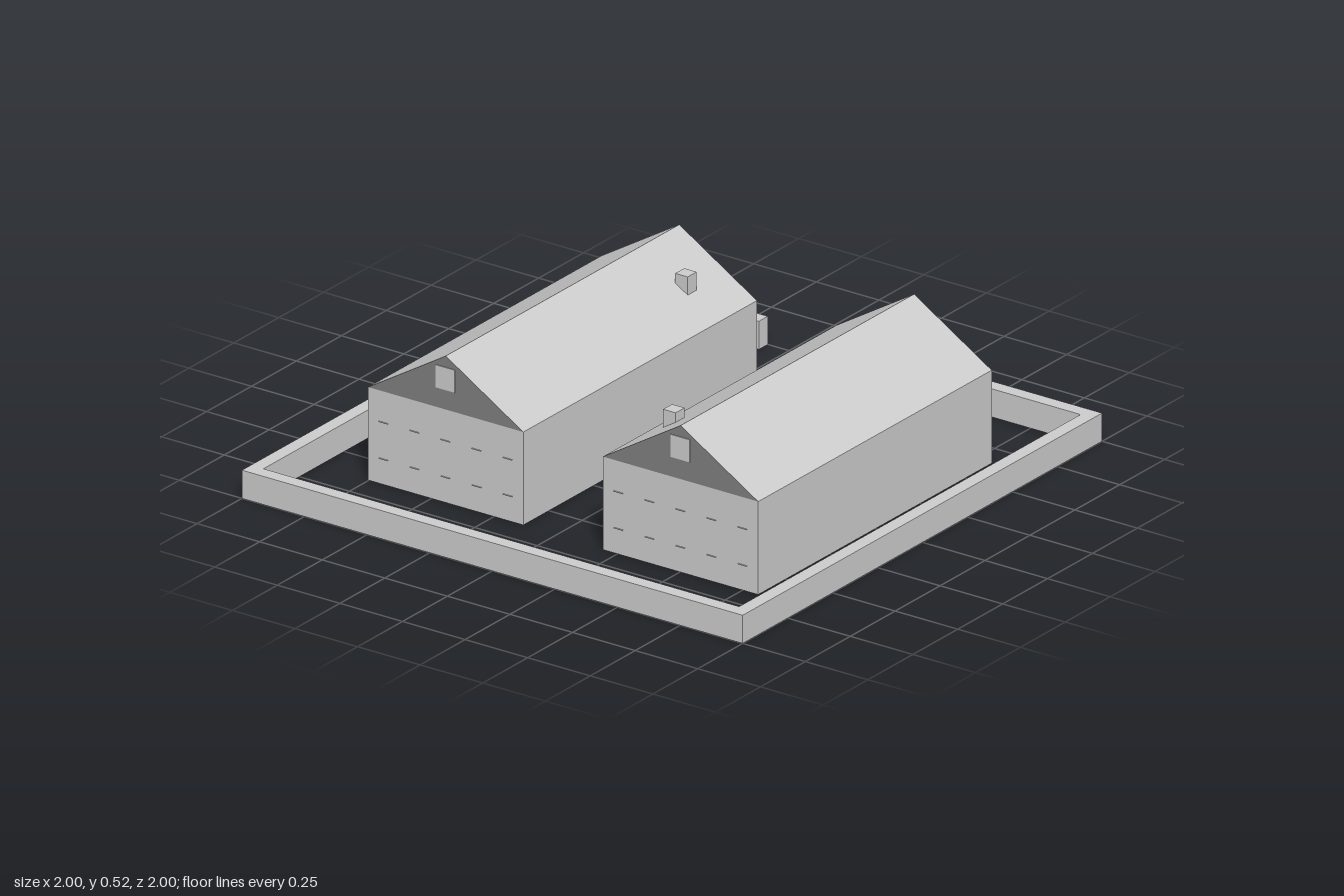
import * as THREE from 'three';

const stone = new THREE.MeshStandardMaterial({ color: 0xcccccc, side: THREE.DoubleSide });
stone.name = 'lightGrey';
const dark = new THREE.MeshStandardMaterial({ color: 0x7e7e7e, side: THREE.DoubleSide });
dark.name = 'darkGrey';

const W = 0.31, L = 0.65, EAVE = 0.33, RIDGE = 0.52;

function add(parent, name, geometry, material = stone) {
  const mesh = new THREE.Mesh(geometry, material);
  mesh.name = name;
  parent.add(mesh);
  return mesh;
}

function box(parent, name, [x0, x1], [y0, y1], [z0, z1]) {
  const mesh = add(parent, name, new THREE.BoxGeometry(x1 - x0, y1 - y0, z1 - z0));
  mesh.position.set((x0 + x1) / 2, (y0 + y1) / 2, (z0 + z1) / 2);
  return mesh;
}

// Flat convex panel from corners listed anticlockwise as seen from outside
function panel(parent, name, corners, material) {
  const geometry = new THREE.BufferGeometry();
  geometry.setAttribute('position', new THREE.Float32BufferAttribute(corners.flat(), 3));
  const index = [];
  for (let i = 1; i < corners.length - 1; i++) index.push(0, i, i + 1);
  geometry.setIndex(index);
  geometry.computeVertexNormals();
  return add(parent, name, geometry, material);
}

// Open-bottomed barn with its chimney on the +x slope, near the -z end
function barn(name) {
  const g = new THREE.Group();
  g.name = name;
  for (const s of [1, -1]) {
    // s mirrors by a half turn, so the corner order stays valid
    const p = (x, y, z) => [s * x, y, s * z];
    panel(g, 'sideWall', [p(W, 0, L), p(W, 0, -L), p(W, EAVE, -L), p(W, EAVE, L)], stone);
    panel(g, 'endWall', [p(-W, 0, L), p(W, 0, L), p(W, EAVE, L), p(-W, EAVE, L)], stone);
    panel(g, 'gable', [p(-W, EAVE, L), p(W, EAVE, L), p(0, RIDGE, L)], dark);
    panel(g, 'roofSlope', [p(W, EAVE, L), p(W, EAVE, -L), p(0, RIDGE, -L), p(0, RIDGE, L)], stone);
    // Thin window ledges in two rows
    for (const y of [0.09, 0.22])
      for (let i = -2; i <= 2; i++) {
        const x = i * 0.124;
        box(g, 'windowLedge', [x - 0.018, x + 0.018], [y - 0.001, y + 0.001], [s * L - 0.004, s * L + 0.004]);
      }
  }
  // Ledges inside the courtyard wall
  for (const y of [0.09, 0.22])
    for (let i = 0; i < 8; i++) {
      const z = -0.56 + i * 0.16;
      box(g, 'innerLedge', [W - 0.006, W - 0.001], [y - 0.001, y + 0.001], [z - 0.018, z + 0.018]);
    }
  box(g, 'chimney', [0.145, 0.195], [0.385, 0.465], [-0.475, -0.425]);
  return g;
}

export function createModel() {
  const model = new THREE.Group();
  model.name = 'farmstead';

  const right = barn('rightBarn');
  right.position.set(-0.443, 0, -0.008);
  const left = barn('leftBarn');
  left.position.set(0.502, 0, 0.002);
  left.rotation.y = Math.PI;
  model.add(right, left);

  // Attic windows on the gables; the back one of the left barn stands proud
  for (const b of [right, left])
    for (const s of [1, -1]) {
      const out = b === left && s === 1 ? 0.018 : 0.003;
      const z = s * L;
      box(b, 'atticWindow', [-0.038, 0.038], [0.4, 0.48], [Math.min(z, z + s * out), Math.max(z, z + s * out)]);
    }

  // Low boundary wall with a gateway at the back
  const T = 0.95, H = [0, 0.1];
  box(model, 'frontBoundary', [-1, 1], H, [T, 1]);
  box(model, 'leftBoundary', [T, 1], H, [-T, T]);
  box(model, 'rightBoundary', [-1, -T], H, [-T, T]);
  box(model, 'backBoundaryRight', [-1, -0.335], H, [-1, -T]);
  box(model, 'backBoundaryLeft', [0.415, 1], H, [-1, -T]);
  return model;
}
